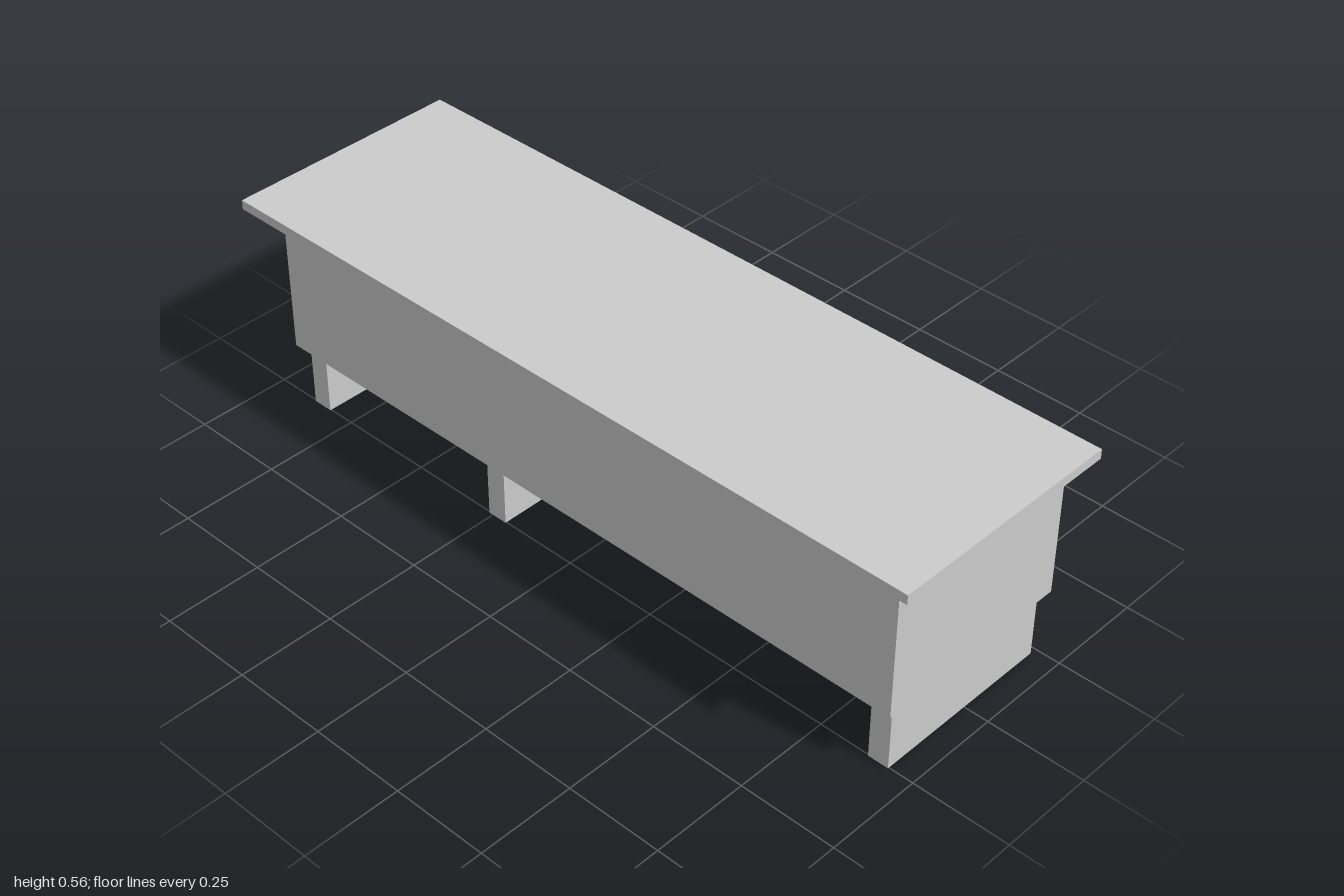
import * as THREE from 'three';

const material = new THREE.MeshStandardMaterial({ color: 0xcccccc });

// Box given by its minimum and maximum on each axis
function box(name, [x0, x1], [y0, y1], [z0, z1]) {
  const mesh = new THREE.Mesh(new THREE.BoxGeometry(x1 - x0, y1 - y0, z1 - z0), material);
  mesh.position.set((x0 + x1) / 2, (y0 + y1) / 2, (z0 + z1) / 2);
  mesh.name = name;
  return mesh;
}

// Round knob pointing along +x: a stem and a wider head
function knob(name, y, z, scale) {
  const group = new THREE.Group();
  group.name = name;
  const disc = (part, radius, start, end) => {
    const geometry = new THREE.CylinderGeometry(radius, radius, end - start, 32);
    geometry.rotateZ(-Math.PI / 2).translate((start + end) / 2, 0, 0);
    const mesh = new THREE.Mesh(geometry, material);
    mesh.name = part;
    group.add(mesh);
  };
  disc('knobStem', 0.026, 0, 0.026);
  disc('knobHead', 0.036, 0.026, 0.049);
  group.scale.setScalar(scale);
  group.position.set(0.267, y, z);
  return group;
}

export function createModel() {
  const model = new THREE.Group();
  model.name = 'lowCabinet';

  // Top board and carcass
  model.add(box('topBoard', [-0.318, 0.308], [0.534, 0.559], [-1, 1]));
  model.add(box('body', [-0.28, 0.258], [0.173, 0.534], [-0.898, 0.952]));

  // Three plank legs running across the depth
  for (const z of [0.909, -0.235, -0.85]) {
    model.add(box('leg', [-0.253, 0.232], [0, 0.173], [z - 0.027, z + 0.027]));
  }

  // Two wide drawers
  for (const [z0, z1, knobZ] of [[0.358, 0.92, 0.64], [-0.22, 0.342, 0.053]]) {
    model.add(box('drawerFront', [0.258, 0.267], [0.286, 0.503], [z0, z1]));
    model.add(knob('drawerKnob', 0.4, knobZ, 1));
  }

  // Pair of doors with small knobs near the meeting edge
  for (const [z0, z1, knobZ] of [[-0.524, -0.273, -0.47], [-0.807, -0.556, -0.608]]) {
    model.add(box('door', [0.258, 0.267], [0.225, 0.503], [z0, z1]));
    model.add(knob('doorKnob', 0.397, knobZ, 0.6));
  }

  return model;
}
